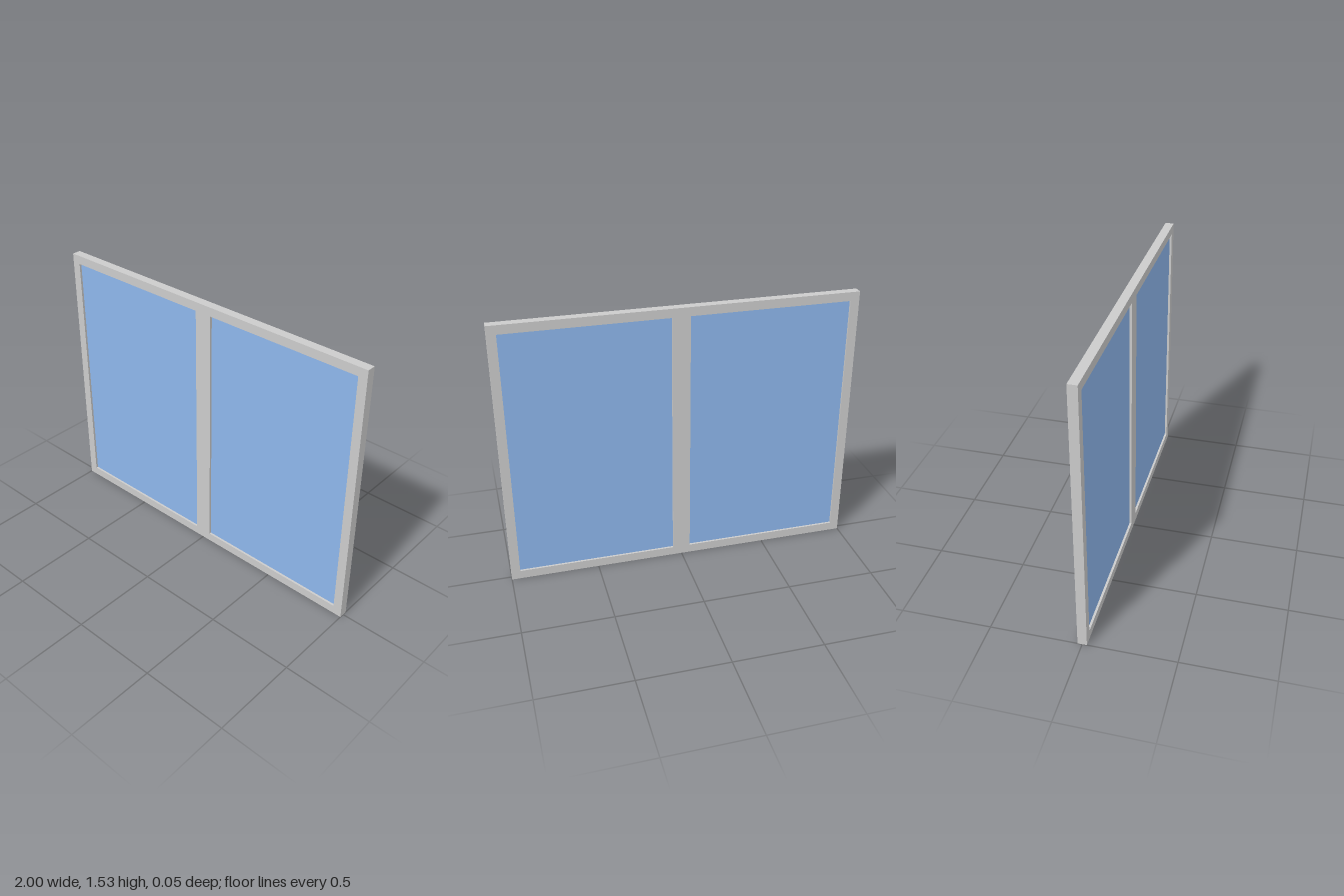
import * as THREE from 'three';

const W = 2, H = 1.535, DEPTH = 0.05;   // overall size
const BORDER = 0.05, MULLION = 0.1;     // bar widths
const GLASS_DEPTH = 0.025;              // panes sit recessed on both sides

const PANE_W = (W - 2 * BORDER - MULLION) / 2;
const PANE_H = H - 2 * BORDER;
const PANE_X = (MULLION + PANE_W) / 2;

// Closed rectangle centred on (cx, cy)
function rectangle(PathType, cx, cy, w, h) {
  const x = w / 2, y = h / 2;
  return new PathType([[-x, -y], [x, -y], [x, y], [-x, y]]
    .map(([px, py]) => new THREE.Vector2(cx + px, cy + py)));
}

export function createModel() {
  const model = new THREE.Group();
  model.name = 'window';
  const frameMaterial = new THREE.MeshStandardMaterial({ color: 0xcccccc });
  const glassMaterial = new THREE.MeshStandardMaterial({ color: 0x8db6eb });

  // Frame with central mullion: one slab with two openings
  const outline = rectangle(THREE.Shape, 0, H / 2, W, H);
  for (const side of [-1, 1]) {
    outline.holes.push(rectangle(THREE.Path, side * PANE_X, H / 2, PANE_W, PANE_H));
  }
  const frameGeometry = new THREE.ExtrudeGeometry(outline, { depth: DEPTH, bevelEnabled: false });
  frameGeometry.translate(0, 0, -DEPTH / 2);
  const frame = new THREE.Mesh(frameGeometry, frameMaterial);
  frame.name = 'frame';
  model.add(frame);

  // Glass panes
  const paneGeometry = new THREE.BoxGeometry(PANE_W, PANE_H, GLASS_DEPTH);
  for (const [name, side] of [['rightPane', -1], ['leftPane', 1]]) {
    const pane = new THREE.Mesh(paneGeometry, glassMaterial);
    pane.name = name;
    pane.position.set(side * PANE_X, H / 2, 0);
    model.add(pane);
  }

  return model;
}
